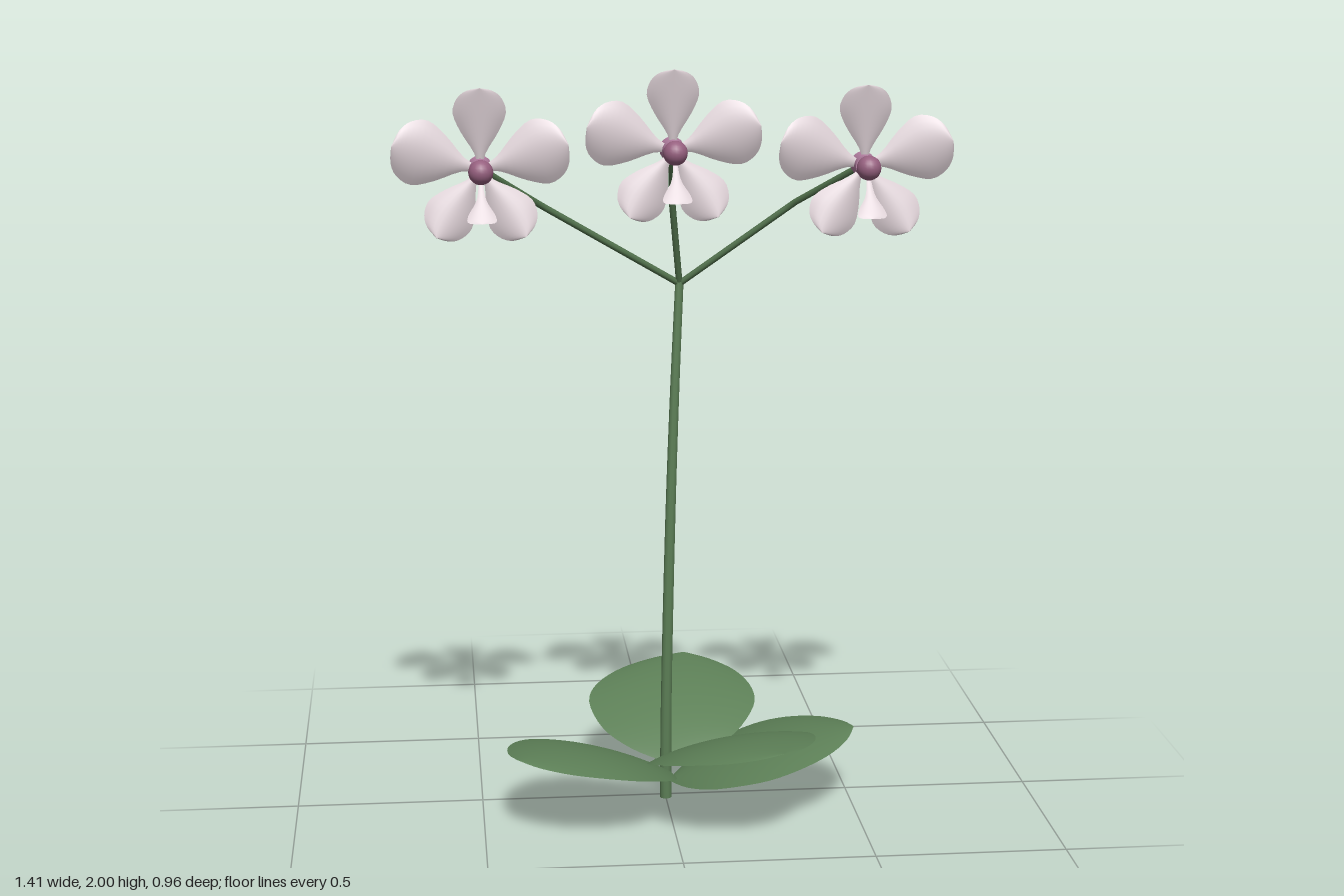
import * as THREE from 'three';

const mat = (name, color, side = THREE.FrontSide) => {
  const m = new THREE.MeshStandardMaterial({ color, side });
  m.name = name;
  return m;
};

// Smooth grid surface from a rule f(u, v) -> [x, y, z]
function sheet(f, nu, nv) {
  const pos = [], idx = [];
  for (let i = 0; i <= nu; i++)
    for (let j = 0; j <= nv; j++) pos.push(...f(i / nu, j / nv));
  for (let i = 0; i < nu; i++)
    for (let j = 0; j < nv; j++) {
      const a = i * (nv + 1) + j, b = a + nv + 1;
      idx.push(a, b, a + 1, b, b + 1, a + 1);
    }
  const g = new THREE.BufferGeometry();
  g.setAttribute('position', new THREE.Float32BufferAttribute(pos, 3));
  g.setIndex(idx);
  g.computeVertexNormals();
  return g;
}

// Outlines as (distance along, half width), both from 0 to 1
const outline = (pts) => new THREE.SplineCurve(pts.map((p) => new THREE.Vector2(...p)));
const leafOutline = outline([[0, 0.03], [0.1, 0.45], [0.25, 0.8], [0.47, 1], [0.65, 0.95], [0.83, 0.7], [0.95, 0.34], [1, 0]]);
const petalOutline = outline([[0, 0.08], [0.2, 0.22], [0.45, 0.7], [0.68, 1], [0.86, 0.85], [0.96, 0.5], [1, 0]]);
const lipOutline = outline([[0, 0.15], [0.4, 0.35], [0.7, 0.95], [0.88, 0.95], [1, 0]]);

export function createModel() {
  const group = new THREE.Group();
  const leafGreen = mat('leafGreen', 0x5d8057, THREE.DoubleSide);
  const stemGreen = mat('stemGreen', 0x4f6f4a);
  const petalPink = mat('petalPink', 0xdccfd4, THREE.DoubleSide);
  const mauve = mat('mauve', 0xb07c9e);
  const darkMauve = mat('darkMauve', 0x96607f);

  const add = (parent, name, geo, material, x = 0, y = 0, z = 0) => {
    const m = new THREE.Mesh(geo, material);
    m.name = name;
    m.position.set(x, y, z);
    parent.add(m);
    return m;
  };

  // Broad leaves: tip x, tip z, root height, half width, sideways bow
  const rootX = 0.01, rootZ = 0.025;
  const leaves = [
    ['rightBackLeaf', 0.51, 0.07, 0.05, 0.235, 0.02],
    ['backLeaf', 0.1, -0.48, 0.1, 0.232, -0.015],
    ['rightFrontLeaf', -0.415, 0.32, 0.075, 0.212, 0.012],
    ['leftFrontLeaf', 0.265, 0.462, 0.12, 0.225, -0.022],
  ];
  for (const [name, tx, tz, y0, w, bow] of leaves) {
    const dx = tx - rootX, dz = tz - rootZ, len = Math.hypot(dx, dz);
    const px = -dz / len, pz = dx / len;
    const f = (u, v) => {
      const p = leafOutline.getPoint(u), s = p.x, t = v * 2 - 1;
      const side = w * Math.max(p.y, 0) * t + bow * Math.sin(Math.PI * s);
      const y = y0 + 0.153 * (1 - Math.pow(1 - s, 2.2)) - 0.03 * t * t * Math.max(p.y, 0);
      return [rootX + dx * s + px * side, y, rootZ + dz * s + pz * side];
    };
    add(group, name, sheet(f, 28, 12), leafGreen);
  }

  // Tapering, slightly bowed stem
  const stemPath = new THREE.CatmullRomCurve3([
    [0, 0, 0.022], [0, 0.25, 0.032], [0.01, 0.8, 0.047], [0.022, 1.15, 0.042], [0.035, 1.43, 0.03],
  ].map((p) => new THREE.Vector3(...p)));
  const stem = sheet((u, v) => {
    const c = stemPath.getPoint(u), r = 0.016 - 0.005 * u, a = v * Math.PI * 2;
    return [c.x + r * Math.cos(a), c.y, c.z - r * Math.sin(a)];
  }, 16, 10);
  stem.setIndex(Array.from(stem.index.array).reverse());
  stem.computeVertexNormals();
  add(group, 'stem', stem, leafGreen);

  // Flower pieces are shared by all three flowers
  const petalGeo = (deg, len, w) => {
    const a = THREE.MathUtils.degToRad(deg), c = Math.cos(a), s = Math.sin(a);
    return sheet((u, v) => {
      const p = petalOutline.getPoint(u), t = v * 2 - 1, h = Math.max(p.y, 0);
      const r = len * p.x, q = w * h * t;
      return [r * c - q * s, r * s + q * c, 0.03 + 0.035 * p.x - 0.025 * t * t * h];
    }, 18, 10);
  };
  const petals = [[90, 0.205, 0.066], [16, 0.228, 0.083], [164, 0.228, 0.083], [-56, 0.2, 0.064], [236, 0.2, 0.064]]
    .map((p) => petalGeo(...p));
  const lipGeo = sheet((u, v) => {
    const p = lipOutline.getPoint(u), t = v * 2 - 1, h = Math.max(p.y, 0);
    return [0.035 * h * t, -0.025 - 0.093 * p.x - 0.01 * t * t * h, 0.09 + 0.077 * p.x];
  }, 14, 8);
  const calyxGeo = new THREE.CylinderGeometry(0.026, 0.032, 0.05, 16).rotateX(Math.PI / 2);
  const columnGeo = new THREE.CylinderGeometry(0.022, 0.022, 0.05, 16).rotateX(Math.PI / 2);
  const budGeo = new THREE.SphereGeometry(0.031, 20, 14);

  const flowers = [
    ['rightFlower', -0.485, 1.755, 0.205, [-0.33, 1.645, 0.095]],
    ['middleFlower', 0, 1.795, 0.183, [0.008, 1.66, 0.1]],
    ['leftFlower', 0.485, 1.755, 0.205, [0.33, 1.645, 0.095]],
  ];
  for (const [name, x, y, z, bend] of flowers) {
    // Branch with one bend
    const path = new THREE.CatmullRomCurve3([
      new THREE.Vector3(0.035, 1.425, 0.03), new THREE.Vector3(...bend), new THREE.Vector3(x, y, z + 0.01),
    ], false, 'catmullrom', 0);
    add(group, name + 'Branch', new THREE.TubeGeometry(path, 16, 0.0085, 8), stemGreen);

    const flower = new THREE.Group();
    flower.name = name;
    flower.position.set(x, y, z);
    group.add(flower);
    petals.forEach((g, i) => add(flower, 'petal' + (i + 1), g, petalPink));
    add(flower, 'calyx', calyxGeo, mauve, 0, 0, 0.025);
    add(flower, 'column', columnGeo, mauve, 0, 0, 0.07);
    add(flower, 'centreBud', budGeo, darkMauve, 0, 0, 0.093);
    add(flower, 'lip', lipGeo, petalPink);
  }
  return group;
}
